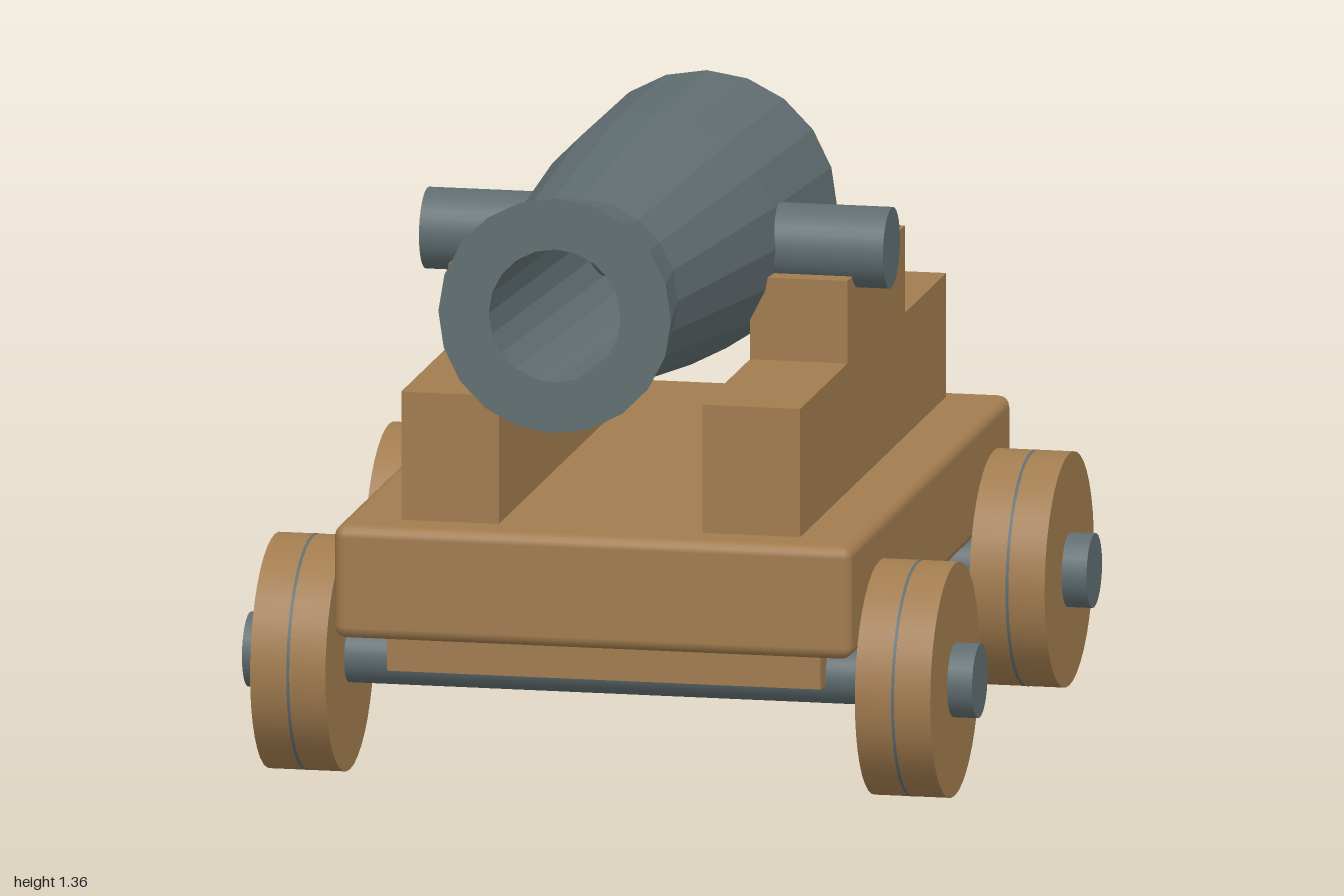
import * as THREE from 'three';
import { RoundedBoxGeometry } from 'three/addons/geometries/RoundedBoxGeometry.js';

export function createModel() {
  const model = new THREE.Group();
  model.name = 'cannon';
  const wood = new THREE.MeshStandardMaterial({ color: 0xa27c4f });
  wood.name = 'wood';
  const iron = new THREE.MeshStandardMaterial({ color: 0x606d70 });
  iron.name = 'iron';

  const add = (parent, name, geometry, material, x = 0, y = 0, z = 0) => {
    const mesh = new THREE.Mesh(geometry, material);
    mesh.name = name;
    mesh.position.set(x, y, z);
    parent.add(mesh);
    return mesh;
  };
  // Cylinder lying along x
  const rod = (radius, length, sides = 32) =>
    new THREE.CylinderGeometry(radius, radius, length, sides).rotateZ(Math.PI / 2);

  // Carriage bed
  add(model, 'bed', new RoundedBoxGeometry(1.1, 0.24, 1.605, 2, 0.025), wood, 0, 0.448, -0.182);

  // Stepped cheeks: [front z, back z, top y]
  const steps = [[0.53, 0.06, 0.84], [0.06, -0.515, 1.015], [-0.515, -0.925, 0.83]];
  const outline = [new THREE.Vector2(-0.53, 0.55)];
  for (const [front, back, top] of steps) {
    outline.push(new THREE.Vector2(-front, top), new THREE.Vector2(-back, top));
  }
  outline.push(new THREE.Vector2(0.925, 0.55));
  const cheek = new THREE.ExtrudeGeometry(new THREE.Shape(outline), { depth: 0.207, bevelEnabled: false })
    .translate(0, 0, -0.1035)
    .rotateY(Math.PI / 2);
  add(model, 'leftCheek', cheek, wood, 0.32);
  add(model, 'rightCheek', cheek, wood, -0.32);

  // Axles with bolsters, wheels, tyre bands and hubs
  for (const [end, z] of [['front', 0.39], ['rear', -0.75]]) {
    const axle = new THREE.Group();
    axle.name = end + 'Axle';
    axle.position.set(0, 0.25, z);
    model.add(axle);
    add(axle, 'axleRod', rod(0.06, 1.2), iron);
    add(axle, 'bolster', new THREE.BoxGeometry(0.92, 0.1, 0.22), wood, 0, 0.04, 0);
    for (const side of [-1, 1]) {
      add(axle, 'wheel', rod(0.246, 0.16, 40), wood, side * 0.642);
      add(axle, 'tyreBand', rod(0.2465, 0.006, 40), iron, side * 0.642);
      add(axle, 'hub', rod(0.078, 0.21, 24), iron, side * 0.67);
    }
  }

  // Barrel assembly, pivoted on the trunnions and tilted slightly up
  const gun = new THREE.Group();
  gun.name = 'gun';
  gun.position.set(0, 1.065, -0.055);
  gun.rotation.x = -0.046;
  model.add(gun);

  // Outer profile from breech to muzzle, then back down the bore: [radius, along]
  const profile = [
    [0, -0.595], [0.2, -0.595], [0.28, -0.46], [0.267, 0.06], [0.207, 0.79],
    [0.247, 1.045], [0.14, 1.045], [0.14, -0.2], [0, -0.2],
  ].map(([r, s]) => new THREE.Vector2(r, s));
  const barrel = new THREE.LatheGeometry(profile, 20).rotateX(Math.PI / 2).toNonIndexed();
  barrel.computeVertexNormals();
  add(gun, 'barrel', barrel, iron);

  // Trunnions pass right through the barrel
  add(gun, 'trunnions', rod(0.085, 0.985), iron);

  // Breech knob
  const knob = add(gun, 'breechKnob', new THREE.SphereGeometry(0.11, 24, 16), iron, 0, 0.012, -0.711);
  knob.scale.z = 1.16;

  return model;
}
